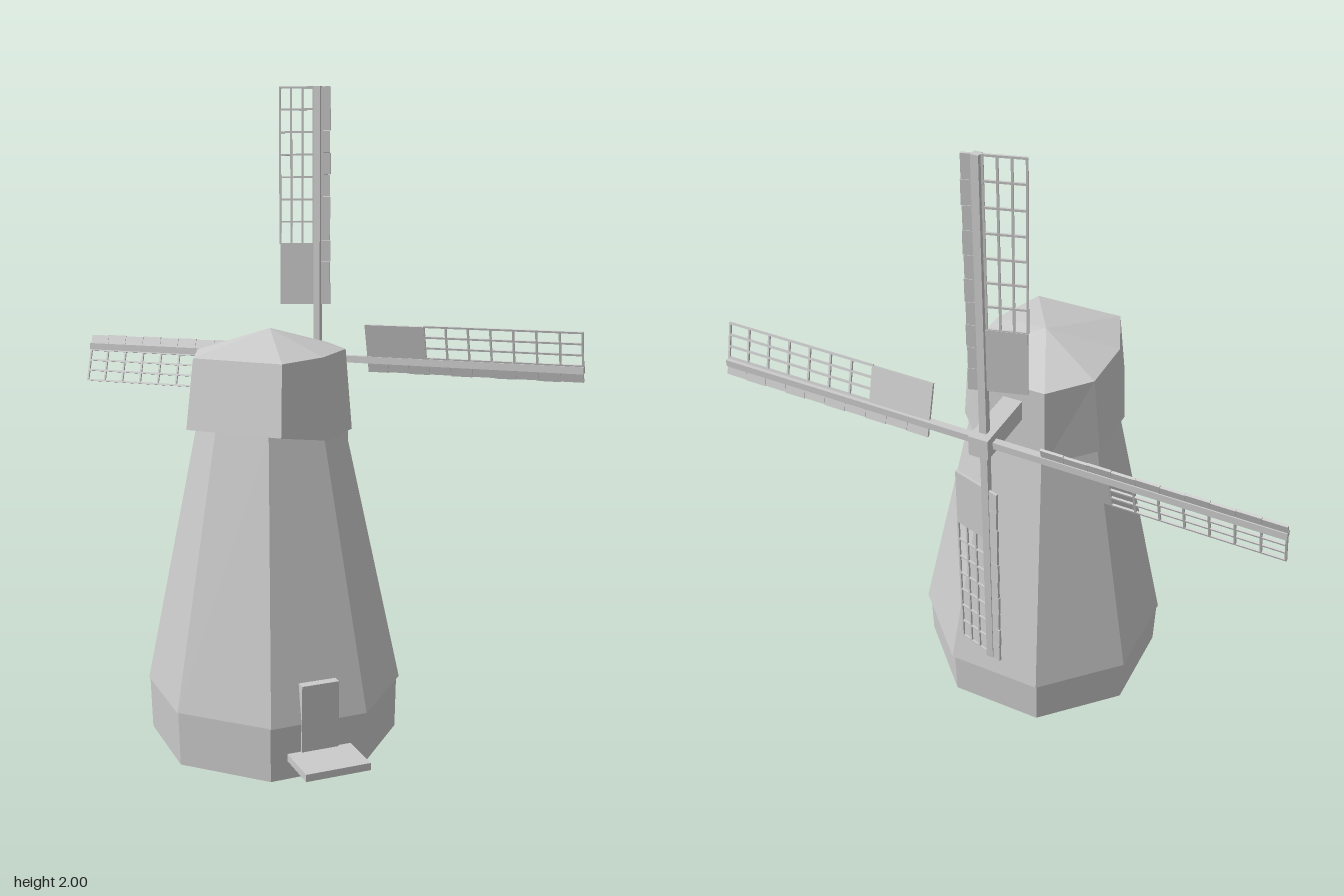
import * as THREE from 'three';

const grey = new THREE.MeshStandardMaterial({ color: 0xcccccc, flatShading: true });
const greyDouble = new THREE.MeshStandardMaterial({ color: 0xcccccc, flatShading: true, side: THREE.DoubleSide });

function add(parent, name, geometry, x = 0, y = 0, z = 0, material = grey) {
  const mesh = new THREE.Mesh(geometry, material);
  mesh.name = name;
  mesh.position.set(x, y, z);
  parent.add(mesh);
  return mesh;
}

// Box given by its limits on each axis
function addBox(parent, name, [x0, x1], [y0, y1], [z0, z1]) {
  return add(parent, name, new THREE.BoxGeometry(x1 - x0, y1 - y0, z1 - z0),
    (x0 + x1) / 2, (y0 + y1) / 2, (z0 + z1) / 2);
}

// Eight-sided tapered drum with flats facing the axes, sized by its flats
function octagon(top, bottom, height, open) {
  const k = 1 / Math.cos(Math.PI / 8);
  return new THREE.CylinderGeometry(top * k, bottom * k, height, 8, 1, open, Math.PI / 8);
}

// Cap: lower ring, upper ring and apex, longer towards the front
function capGeometry() {
  const lower = [[-0.105, -0.228], [0.11, -0.228], [0.228, -0.1], [0.228, 0.09],
    [0.162, 0.29], [-0.135, 0.29], [-0.222, 0.09], [-0.222, -0.1]]
    .map(([x, z]) => [x, z > 0.2 ? 1.01 : 0.97, z]);
  const upper = [[-0.1, -0.218], [0.1, -0.218], [0.205, -0.1], [0.205, 0.085],
    [0.148, 0.253], [-0.13, 0.253], [-0.2, 0.085], [-0.2, -0.1]]
    .map(([x, z]) => [x, 1.213, z]);
  const apex = [0, 1.278, 0];
  const under = [0, 0.975, 0];
  const points = [];
  for (let i = 0; i < 8; i++) {
    const j = (i + 1) % 8;
    points.push(lower[i], upper[i], lower[j], upper[i], upper[j], lower[j]);
    points.push(upper[i], apex, upper[j], lower[i], lower[j], under);
  }
  const geometry = new THREE.BufferGeometry();
  geometry.setAttribute('position', new THREE.Float32BufferAttribute(points.flat(), 3));
  geometry.computeVertexNormals();
  return geometry;
}

// One sail pointing up from the hub
function createSail() {
  const sail = new THREE.Group();
  sail.name = 'sail';
  const root = 0.175, shutter = 0.37, tip = 0.866;
  const outer = -0.122, inner = -0.014;
  addBox(sail, 'stock', [-0.011, 0.011], [0, tip], [-0.011, 0.011]);

  // Sail blade, pitched about the stock
  const blade = new THREE.Group();
  blade.name = 'blade';
  blade.rotation.y = 0.28;
  sail.add(blade);
  addBox(blade, 'shutter', [outer, 0], [root, shutter], [-0.004, 0.004]);

  const rows = 7, cols = 3, bar = 0.003;
  const step = (tip - shutter) / rows;
  for (let i = 0; i <= rows; i++) {
    const y = Math.min(shutter + i * step, tip - bar);
    addBox(blade, 'crossBar', [outer, 0], [y - bar, y + bar], [-bar, bar]);
  }
  for (let i = 0; i <= cols; i++) {
    const x = outer + (inner - outer) * i / cols;
    addBox(blade, 'longBar', [x - bar, x + bar], [shutter, tip], [-bar, bar]);
  }
  // Leading board, in sections of slightly different width
  const count = 10, length = (tip - root) / count;
  for (let i = 0; i < count; i++) {
    const y = root + i * length;
    addBox(blade, 'leadingBoard', [0, i % 2 ? 0.039 : 0.041], [y, y + length - 0.001], [-0.004, 0.004]);
  }
  return sail;
}

export function createModel() {
  const model = new THREE.Group();
  model.name = 'windmill';

  // Tower on its base, leaning very slightly
  const body = new THREE.Group();
  body.name = 'body';
  body.position.set(0.017, 0.007, 0.004);
  body.rotation.z = 0.014;
  model.add(body);
  add(body, 'base', octagon(0.358, 0.354, 0.165, true), 0, 0.0845, 0.006, greyDouble);
  add(body, 'tower', octagon(0.205, 0.364, 0.825), 0, 0.5775, 0);

  // Doorway and step on the front left face
  const entrance = new THREE.Group();
  entrance.name = 'entrance';
  entrance.position.set(0.017, 0, 0.004);
  entrance.rotation.y = Math.PI / 4;
  model.add(entrance);
  addBox(entrance, 'door', [-0.058, 0.058], [0.08, 0.292], [0.28, 0.366]);
  addBox(entrance, 'step', [-0.1, 0.1], [0.068, 0.09], [0.34, 0.497]);

  add(model, 'cap', capGeometry());

  // Windshaft and four sails behind
  addBox(model, 'windshaft', [-0.03, 0.03], [1.105, 1.168], [-0.43, -0.2]);
  const wheel = new THREE.Group();
  wheel.name = 'sails';
  wheel.position.set(0, 1.135, -0.39);
  wheel.rotation.set(-0.018, 0, 0.014);
  model.add(wheel);
  for (let i = 0; i < 4; i++) {
    const sail = createSail();
    sail.rotation.z = i * Math.PI / 2;
    wheel.add(sail);
  }
  return model;
}
